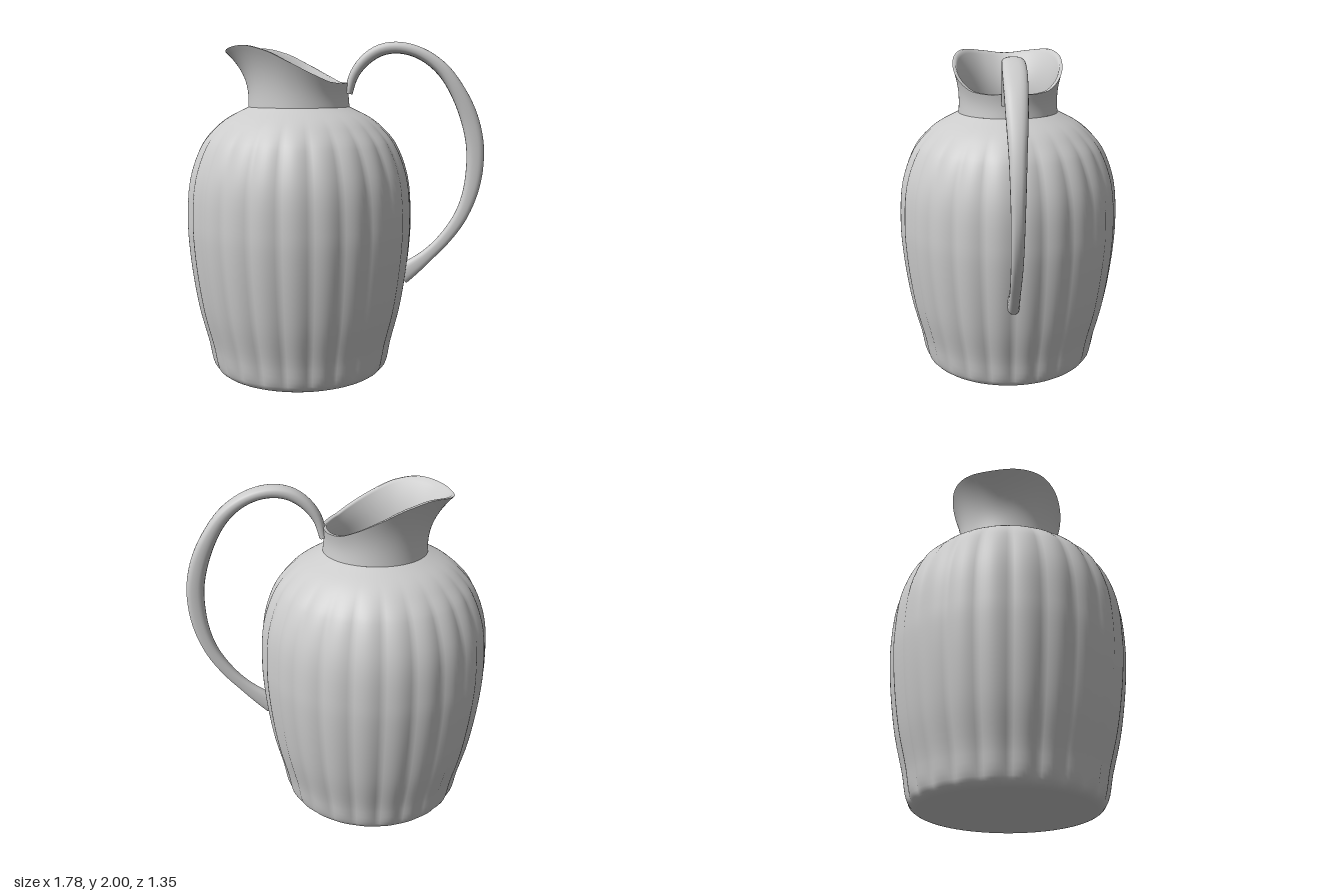
import * as THREE from 'three';

const CX = -0.215; // axis of the jug body
const WALL = 0.02;
const NECK_Y = 1.62, NECK_R = 0.304;
const { lerp, smoothstep } = THREE.MathUtils;
const material = new THREE.MeshStandardMaterial({ color: 0xcccccc, side: THREE.DoubleSide });

// Surface closed around u, running along v; fn(u, v) returns a Vector3, u and v in 0..1
function loopSurface(name, fn, nu, nv) {
  const pos = [], index = [];
  for (let j = 0; j <= nv; j++) {
    for (let i = 0; i < nu; i++) pos.push(...fn(i / nu, j / nv).toArray());
  }
  for (let j = 0; j < nv; j++) {
    for (let i = 0; i < nu; i++) {
      const a = j * nu + i, b = j * nu + (i + 1) % nu;
      index.push(a, b, a + nu, b, b + nu, a + nu);
    }
  }
  const geo = new THREE.BufferGeometry();
  geo.setAttribute('position', new THREE.Float32BufferAttribute(pos, 3));
  geo.setIndex(index);
  geo.computeVertexNormals();
  const mesh = new THREE.Mesh(geo, material);
  mesh.name = name;
  return mesh;
}

const curve = (pts, closed = false) =>
  new THREE.CatmullRomCurve3(pts.map(([x, y, z = 0]) => new THREE.Vector3(x, y, z)), closed);

// Point around the body axis; u = 0 is the spout side
const around = (u, r, y) => {
  const a = u * Math.PI * 2;
  return new THREE.Vector3(CX - r * Math.cos(a), y, r * Math.sin(a));
};

// Body: bulging profile with shallow vertical grooves
function makeBody() {
  const profile = curve([
    [0, 0], [0.43, 0], [0.505, 0.015], [0.54, 0.055], [0.572, 0.2], [0.622, 0.4], [0.655, 0.6],
    [0.676, 0.8], [0.681, 0.95], [0.66, 1.2], [0.585, 1.4], [0.5, 1.5], [0.43, 1.555],
    [0.335, 1.605], [NECK_R, NECK_Y],
  ]);
  return loopSurface('body', (u, v) => {
    const p = profile.getPoint(v);
    const fade = smoothstep(p.y, 0, 0.1) * (1 - smoothstep(p.y, 1.35, 1.6));
    const groove = 0.016 * (1 - Math.abs(Math.sin(u * Math.PI * 24))) * fade;
    return around(u, p.x - groove, p.y);
  }, 192, 56);
}

// Hollow inside of the body, from the neck down to the floor
function makeInterior() {
  const profile = curve([
    [NECK_R - WALL, NECK_Y], [0.4, 1.53], [0.55, 1.38], [0.625, 1.2], [0.645, 0.95],
    [0.62, 0.6], [0.54, 0.2], [0.5, 0.06], [0.4, 0.04], [0, 0.04],
  ]);
  return loopSurface('interior', (u, v) => {
    const p = profile.getPoint(v);
    return around(u, p.x, p.y);
  }, 64, 36);
}

// Neck: round at the bottom, flaring to a swept rim with a pouring lip
function makeNeck() {
  // [radius, height] every 22.5 degrees from the lip to the handle
  const half = [
    [0.44, 1.94], [0.425, 1.96], [0.39, 1.974], [0.357, 1.942], [0.332, 1.878],
    [0.317, 1.815], [0.31, 1.768], [0.305, 1.758], [0.302, 1.765],
  ];
  const rim = curve([...half, ...half.slice(1, -1).reverse()], true);
  const rows = 14;
  return loopSurface('neck', (u, v) => {
    const top = rim.getPoint(u);
    const inside = v > 0.5;
    const t = inside ? 2 * (1 - v) * (rows + 1) / rows : Math.min(1, 2 * v * (rows + 1) / rows);
    const r = lerp(NECK_R, top.x, Math.pow(Math.min(t, 1), 2.4)) - 0.006 * Math.sin(Math.PI * Math.min(t, 1));
    return around(u, r - (inside ? WALL : 0), lerp(NECK_Y, top.y, Math.min(t, 1)));
  }, 96, 2 * (rows + 1));
}

// Handle: rounded strap arching from the rim to the lower body
function makeHandle() {
  const path = curve([
    [0.085, 1.7], [0.115, 1.805], [0.18, 1.892], [0.27, 1.95], [0.38, 1.965], [0.51, 1.93],
    [0.64, 1.835], [0.75, 1.67], [0.815, 1.5], [0.838, 1.35], [0.822, 1.15], [0.765, 0.98],
    [0.67, 0.835], [0.56, 0.72], [0.47, 0.645], [0.41, 0.6],
  ]);
  // [half thickness, half width] along the path
  const size = curve([
    [0.022, 0.052], [0.034, 0.058], [0.034, 0.066], [0.042, 0.06], [0.052, 0.046],
    [0.05, 0.038], [0.04, 0.034], [0.036, 0.031], [0.06, 0.036],
  ]);
  const round = (c) => Math.sign(c) * Math.pow(Math.abs(c), 0.8);
  return loopSurface('handle', (u, v) => {
    const p = path.getPointAt(v), t = path.getTangentAt(v), s = size.getPoint(v);
    const a = u * Math.PI * 2;
    const h = s.x * round(Math.cos(a)), w = s.y * round(Math.sin(a));
    return new THREE.Vector3(p.x - t.y * h, p.y + t.x * h, w);
  }, 24, 72);
}

export function createModel() {
  const group = new THREE.Group();
  group.name = 'pitcher';
  group.add(makeBody(), makeInterior(), makeNeck(), makeHandle());
  return group;
}
